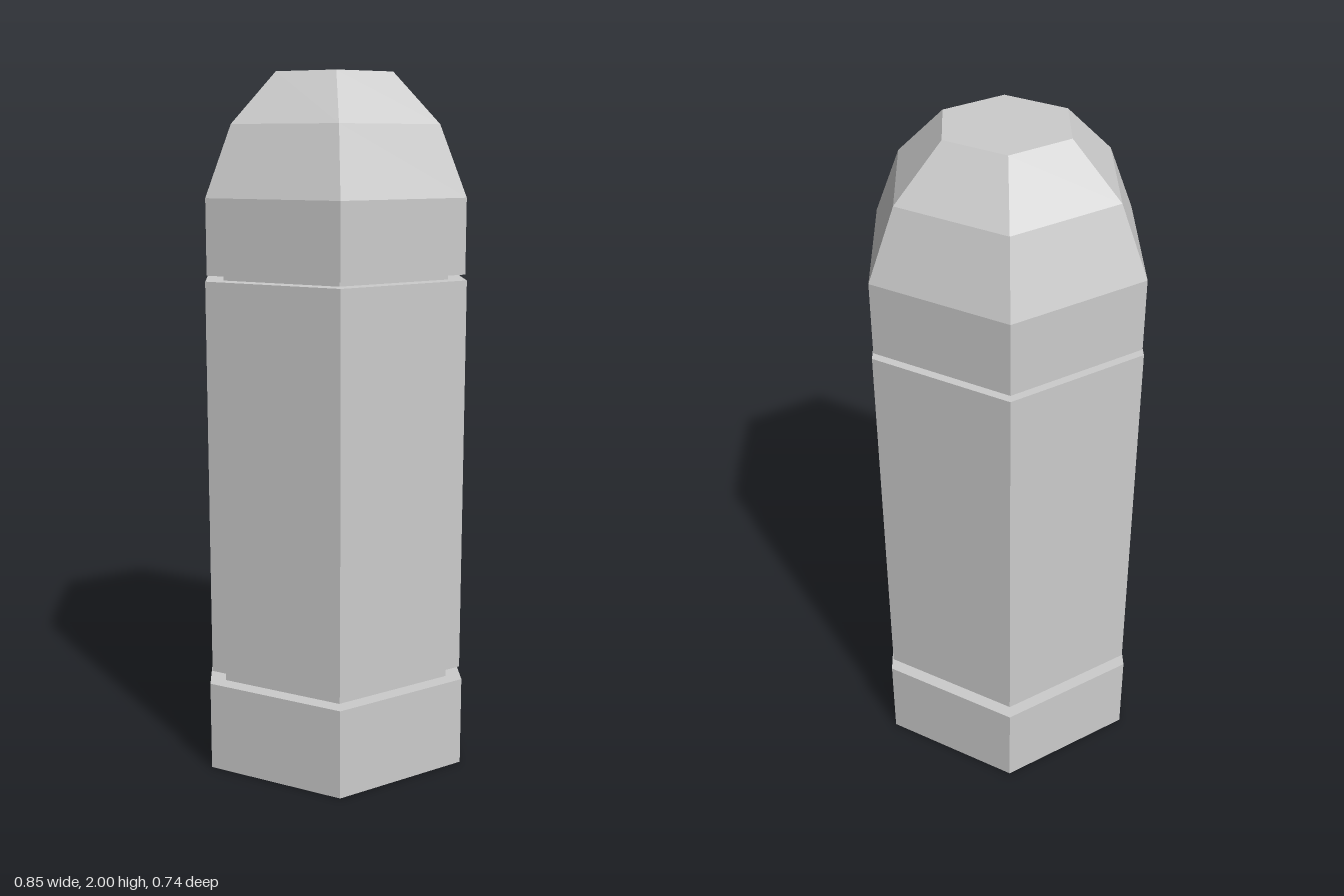
import * as THREE from 'three';

const material = new THREE.MeshStandardMaterial({ color: 0xcccccc, flatShading: true });

// Six-sided solid of revolution from [radius, height] pairs, corners on the x axis
function hexPart(name, profile) {
  const points = profile.map(([r, y]) => new THREE.Vector2(r, y));
  const mesh = new THREE.Mesh(new THREE.LatheGeometry(points, 6, Math.PI / 6), material);
  mesh.name = name;
  return mesh;
}

export function createModel() {
  const model = new THREE.Group();
  model.name = 'hexagonalCartridge';
  model.add(
    // Wide foot
    hexPart('base', [[0, 0], [0.425, 0], [0.425, 0.262], [0, 0.262]]),
    // Recessed groove between foot and casing
    hexPart('lowerGroove', [[0.374, 0.262], [0.374, 0.3]]),
    // Long straight casing
    hexPart('casing', [[0, 0.3], [0.417, 0.3], [0.417, 1.434], [0, 1.434]]),
    // Thin recessed neck under the tip
    hexPart('upperGroove', [[0.36, 1.434], [0.36, 1.45]]),
    // Tip, tapering in two steps to a flat top
    hexPart('tip', [[0, 1.45], [0.412, 1.45], [0.412, 1.66], [0.33, 1.857], [0.187, 2], [0, 2]]),
  );
  return model;
}
